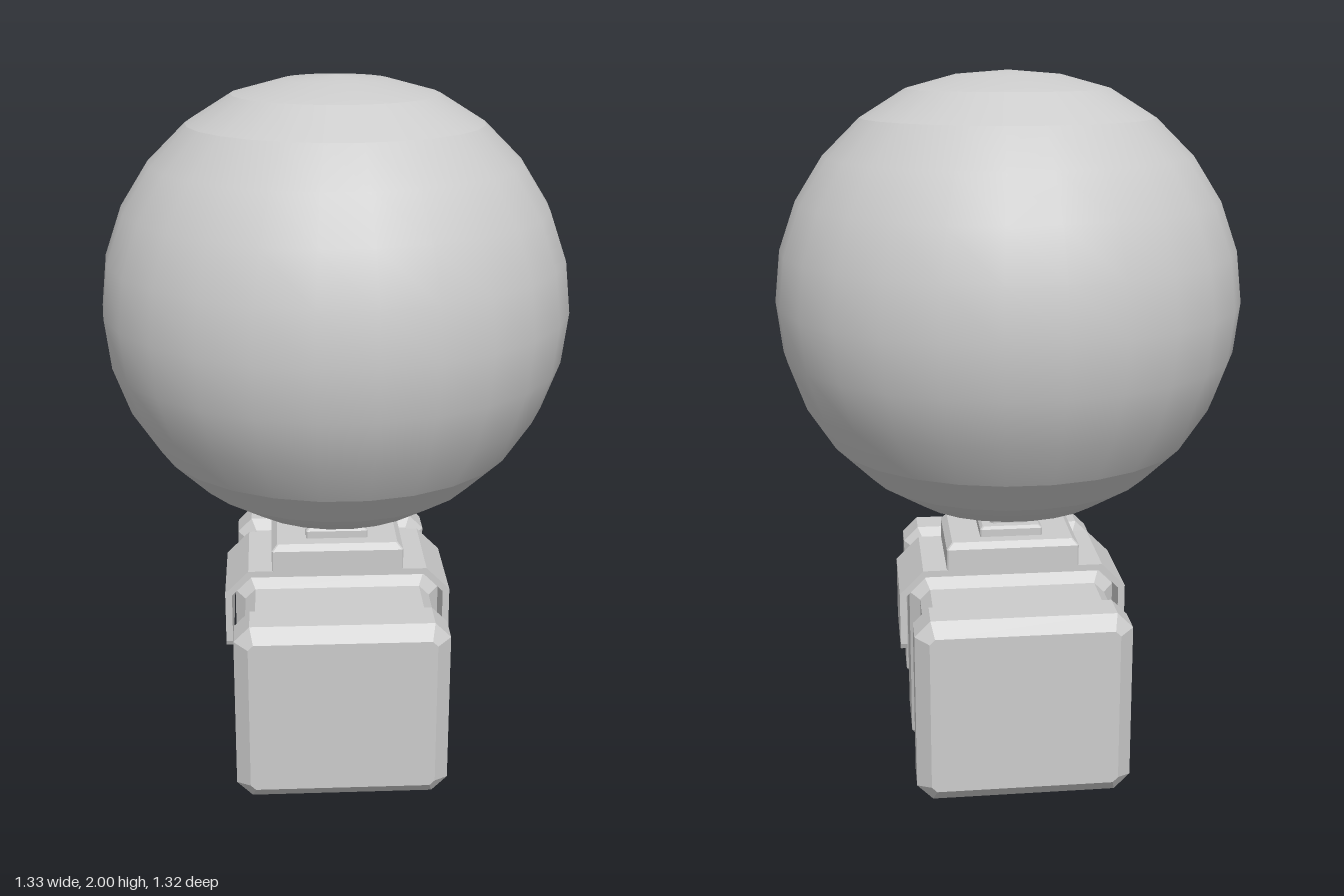
import * as THREE from 'three';

const material = new THREE.MeshStandardMaterial({ color: 0xcccccc });
const flatMaterial = new THREE.MeshStandardMaterial({ color: 0xcccccc, flatShading: true });

function add(parent, name, geometry, mat = flatMaterial) {
  const mesh = new THREE.Mesh(geometry, mat);
  mesh.name = name;
  parent.add(mesh);
  return mesh;
}

// Closed loft along z through rectangles with cut corners: [z, halfWidth, halfHeight, cut]
function loft(rings) {
  const positions = [], index = [], last = (rings.length - 1) * 8;
  for (const [z, w, h, c] of rings) {
    const corners = [[w, c - h], [w, h - c], [w - c, h], [c - w, h], [-w, h - c], [-w, c - h], [c - w, -h], [w - c, -h]];
    for (const [x, y] of corners) positions.push(x, y, z);
  }
  for (let i = 0; i < last; i += 8) {
    for (let j = 0; j < 8; j++) {
      const k = (j + 1) % 8;
      index.push(i + j, i + k, i + 8 + k, i + j, i + 8 + k, i + 8 + j);
    }
  }
  for (let j = 1; j < 7; j++) {
    index.push(0, j + 1, j, last, last + j, last + j + 1);
  }
  const geometry = new THREE.BufferGeometry();
  geometry.setAttribute('position', new THREE.Float32BufferAttribute(positions, 3));
  geometry.setIndex(index);
  geometry.computeVertexNormals();
  return geometry;
}

function extrude(points, depth) {
  const shape = new THREE.Shape(points.map(([x, y]) => new THREE.Vector2(x, y)));
  return new THREE.ExtrudeGeometry(shape, { depth, bevelEnabled: false }).translate(0, 0, -depth / 2);
}

export function createModel() {
  const model = new THREE.Group();
  model.name = 'globeOnCase';

  // Globe: slightly flattened poles, with creases between the bands
  const profile = [];
  for (let i = 0; i <= 14; i++) {
    const a = (i / 14) * Math.PI;
    profile.push(new THREE.Vector2(0.665 * Math.sin(a), 1.3625 - 0.652 * Math.cos(a)));
  }
  profile[0].set(0, 0.725);
  profile[1].y = 0.738;
  profile[13].y = 1.988;
  profile[14].set(0, 2);
  const globe = new THREE.Group();
  globe.name = 'globe';
  model.add(globe);
  const bands = [['bottomCap', 0, 3], ['lowerBand', 3, 4], ['globeWall', 4, 11], ['upperBand', 11, 12], ['topCap', 12, 14]];
  for (const [name, from, to] of bands) {
    add(globe, name, new THREE.LatheGeometry(profile.slice(from, to + 1), 26, Math.PI / 2), material);
  }

  // Case: two raised end collars and a raised middle rib, all chamfered
  const half = [[0.46, 0.04, 0.015], [0.425, 0, 0.045], [0.33, 0, 0.045], [0.3, 0.03, 0.03], [0.13, 0.03, 0.03], [0.1, 0, 0.045]];
  const rings = [
    ...half.map(([z, inset, cut]) => [-z, inset, cut]),
    ...half.slice().reverse(),
  ].map(([z, inset, cut]) => [z, 0.305 - inset, 0.2725 - inset, cut]);
  add(model, 'case', loft(rings)).position.y = 0.2725;

  // Bent strap over the case
  const strap = [[0.335, 0.5], [0.335, 0.51], [0.265, 0.58], [-0.265, 0.58], [-0.335, 0.51], [-0.335, 0.5],
    [-0.315, 0.5], [-0.315, 0.503], [-0.257, 0.561], [0.257, 0.561], [0.315, 0.503], [0.315, 0.5]];
  add(model, 'strap', extrude(strap, 0.29));

  // Hanging strap ends with softened lower corners
  const tab = [[-0.145, 0.5], [-0.145, 0.352], [-0.138, 0.336], [-0.122, 0.328],
    [0.122, 0.328], [0.138, 0.336], [0.145, 0.352], [0.145, 0.5]];
  for (const side of [-1, 1]) {
    add(model, side > 0 ? 'leftStrapEnd' : 'rightStrapEnd', extrude(tab, 0.02).rotateY(Math.PI / 2))
      .position.x = side * 0.325;
  }

  // Stepped mount between strap and globe
  const steps = [
    ['mountBase', [[0.57, 0.195, 0.145, 0.004], [0.642, 0.195, 0.145, 0.004], [0.66, 0.178, 0.13, 0.004]]],
    ['mountPlate', [[0.65, 0.092, 0.092, 0.004], [0.682, 0.092, 0.092, 0.004], [0.69, 0.084, 0.084, 0.004]]],
    ['mountNeck', [[0.68, 0.06, 0.06, 0.01], [0.703, 0.06, 0.06, 0.01], [0.728, 0.09, 0.09, 0.02], [0.74, 0.09, 0.09, 0.02]]],
  ];
  for (const [name, levels] of steps) add(model, name, loft(levels).rotateX(-Math.PI / 2));

  return model;
}
